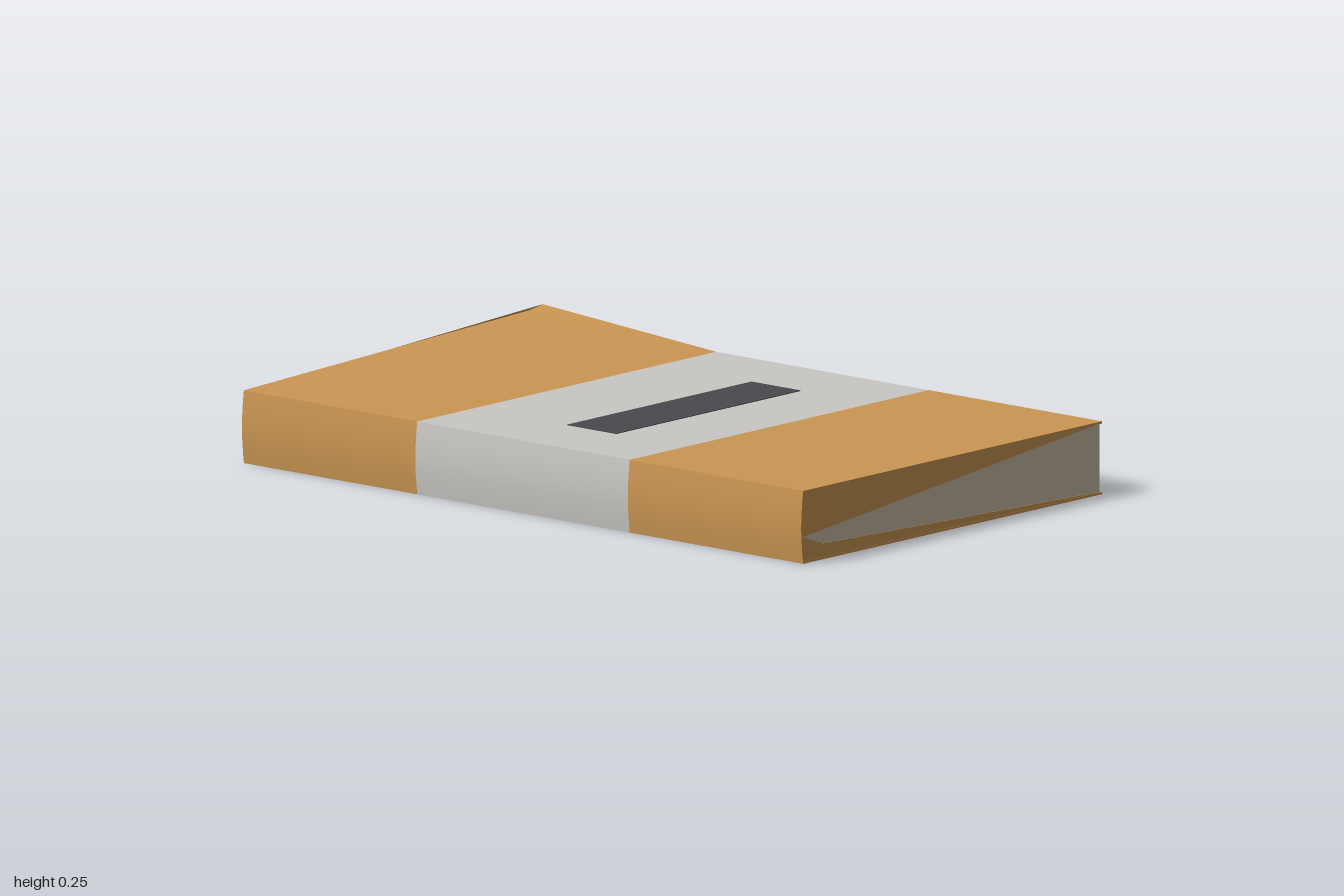
import * as THREE from 'three';
import { toCreasedNormals } from 'three/addons/utils/BufferGeometryUtils.js';

const mat = (name, color) => Object.assign(new THREE.MeshStandardMaterial({ color }), { name });

// Shape from [z, y] points
const sideShape = (pts) => new THREE.Shape(pts.map(([z, y]) => new THREE.Vector2(-z, y)));

// Extrude a side profile along x from x0 to x1
function alongX(shapes, x0, x1, steps = 1) {
  const g = new THREE.ExtrudeGeometry(shapes, { depth: x1 - x0, steps, bevelEnabled: false });
  return g.rotateY(Math.PI / 2).translate(x0, 0, 0);
}

// U-shaped cover profile: bottom board, bowed spine, top board
function coverProfile() {
  const t = 0.006, zs = [-0.612, -0.56, -0.3, 0, 0.3];
  const outerSpine = [], innerSpine = [];
  for (let i = 0; i <= 6; i++) {
    const u = i / 6, bow = 0.008 * Math.sin(Math.PI * u);
    outerSpine.push([0.604 + bow, 0.2 * u]);
    innerSpine.push([0.598 + bow, t + (0.2 - 2 * t) * u]);
  }
  return sideShape([
    [-0.612, 0], ...outerSpine,
    ...[...zs].reverse().map((z) => [z, 0.2]),
    ...zs.map((z) => [z, 0.2 - t]),
    ...innerSpine.reverse(), [-0.612, t],
  ]);
}

// Raise the free corner of the top board
function liftCorner(g) {
  const p = g.attributes.position;
  for (let i = 0; i < p.count; i++) {
    if (p.getY(i) < 0.19) continue;
    const s = Math.max(0, (-0.38 - p.getX(i)) / 0.62), z = p.getZ(i);
    const rise = z > -0.56 ? 0.037 * Math.max(0, (0.6 - z) / 1.16) : 0.037 + 0.008 * (-0.56 - z) / 0.052;
    p.setY(i, p.getY(i) + s * rise);
  }
  g.computeVertexNormals();
  return g;
}

export function createModel() {
  const orange = mat('orange cover', 0xcb9653);
  const grey = mat('light grey band', 0xcac8c4);
  const dark = mat('dark label', 0x4a494e);
  const cream = mat('cream paper', 0xcac0a8);
  const model = new THREE.Group();
  model.name = 'book';
  const add = (name, geo, material) => {
    const m = new THREE.Mesh(geo, material);
    m.name = name;
    model.add(m);
    return m;
  };

  // Cover in three bands
  const profile = coverProfile();
  add('coverRight', toCreasedNormals(liftCorner(alongX(profile, -1, -0.38, 4)), 0.3), orange);
  add('coverBand', toCreasedNormals(alongX(profile, -0.38, 0.38), 0.3), grey);
  add('coverLeft', toCreasedNormals(alongX(profile, 0.38, 1), 0.3), orange);

  // Page block
  add('pages', new THREE.BoxGeometry(1.994, 0.188, 1.205).translate(0, 0.1, -0.0025), cream);

  // Cover-coloured end pieces above and below the exposed page wedge
  const ends = [
    sideShape([[0.605, 0.073], [0.605, 0.195], [-0.605, 0.195]]),
    sideShape([[-0.605, 0.003], [0.605, 0.003], [0.605, 0.073], [0.52, 0.043], [-0.605, 0.007]]),
  ];
  add('endLeft', alongX(ends, 0.996, 0.999), orange);
  add('endRight', alongX(ends, -0.999, -0.996), orange);

  // Label plate on the band
  add('label', new THREE.BoxGeometry(0.175, 0.003, 0.75).translate(0.0425, 0.2005, 0), dark);
  return model;
}
